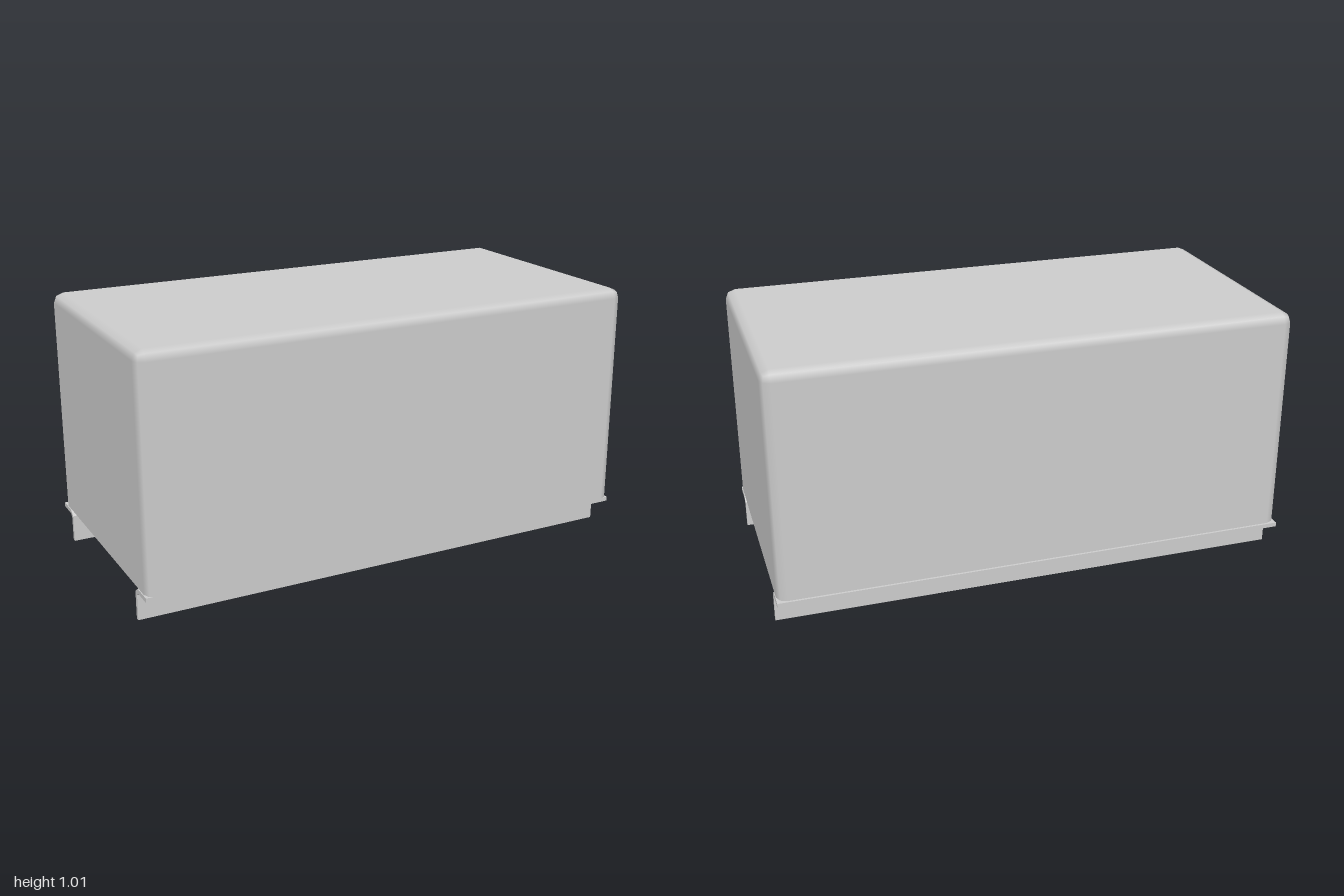
import * as THREE from 'three';
import { RoundedBoxGeometry } from 'three/addons/geometries/RoundedBoxGeometry.js';

const material = new THREE.MeshStandardMaterial({ color: 0xcccccc });
const BASE = 0.129, TOP = 1.008, RADIUS = 0.038;

// Rounded box whose lower edge is flattened to a sharp, flat underside
function caseGeometry() {
  const height = TOP - BASE + RADIUS;
  const geometry = new RoundedBoxGeometry(1.996, height, 0.983, 1, RADIUS);
  geometry.translate(0, TOP - height / 2, 0.003);
  const p = geometry.attributes.position, n = geometry.attributes.normal;
  for (let i = 0; i < p.count; i++) p.setY(i, Math.max(BASE, p.getY(i)));
  for (let i = 0; i < p.count; i += 3) {
    const flat = [0, 1, 2].every(k => p.getY(i + k) < BASE + 1e-4);
    for (let k = 0; k < 3; k++) {
      if (flat) n.setXYZ(i + k, 0, -1, 0);
      else if (p.getY(i + k) < BASE + 1e-4) {
        // keep side walls upright at the lower rim
        const v = new THREE.Vector3(n.getX(i + k), 0, n.getZ(i + k)).normalize();
        n.setXYZ(i + k, v.x, v.y, v.z);
      }
    }
  }
  return geometry;
}

// Angle-section rail: outward flange, bent corner and vertical leg
function railGeometry() {
  const section = [
    [0.373, 0.002], [0.389, 0.002], [0.389, 0.098], [0.401, 0.110],
    [0.485, 0.110], [0.485, 0.127], [0.399, 0.127], [0.373, 0.107],
  ].map(([z, y]) => new THREE.Vector2(z, y - 0.002 * (y < 0.01)));
  const geometry = new THREE.ExtrudeGeometry(new THREE.Shape(section), { depth: 2, bevelEnabled: false });
  geometry.translate(0, 0, -1);
  geometry.rotateY(-Math.PI / 2);
  return geometry;
}

export function createModel() {
  const model = new THREE.Group();
  model.name = 'caseOnRails';

  const body = new THREE.Mesh(caseGeometry(), material);
  body.name = 'case';
  model.add(body);

  // Matching rails under the front and back edges
  for (const [name, turn, z] of [['frontRail', 0, 0], ['backRail', Math.PI, -0.009]]) {
    const rail = new THREE.Mesh(railGeometry(), material);
    rail.name = name;
    rail.rotation.y = turn;
    rail.position.z = z;
    model.add(rail);
  }
  return model;
}
